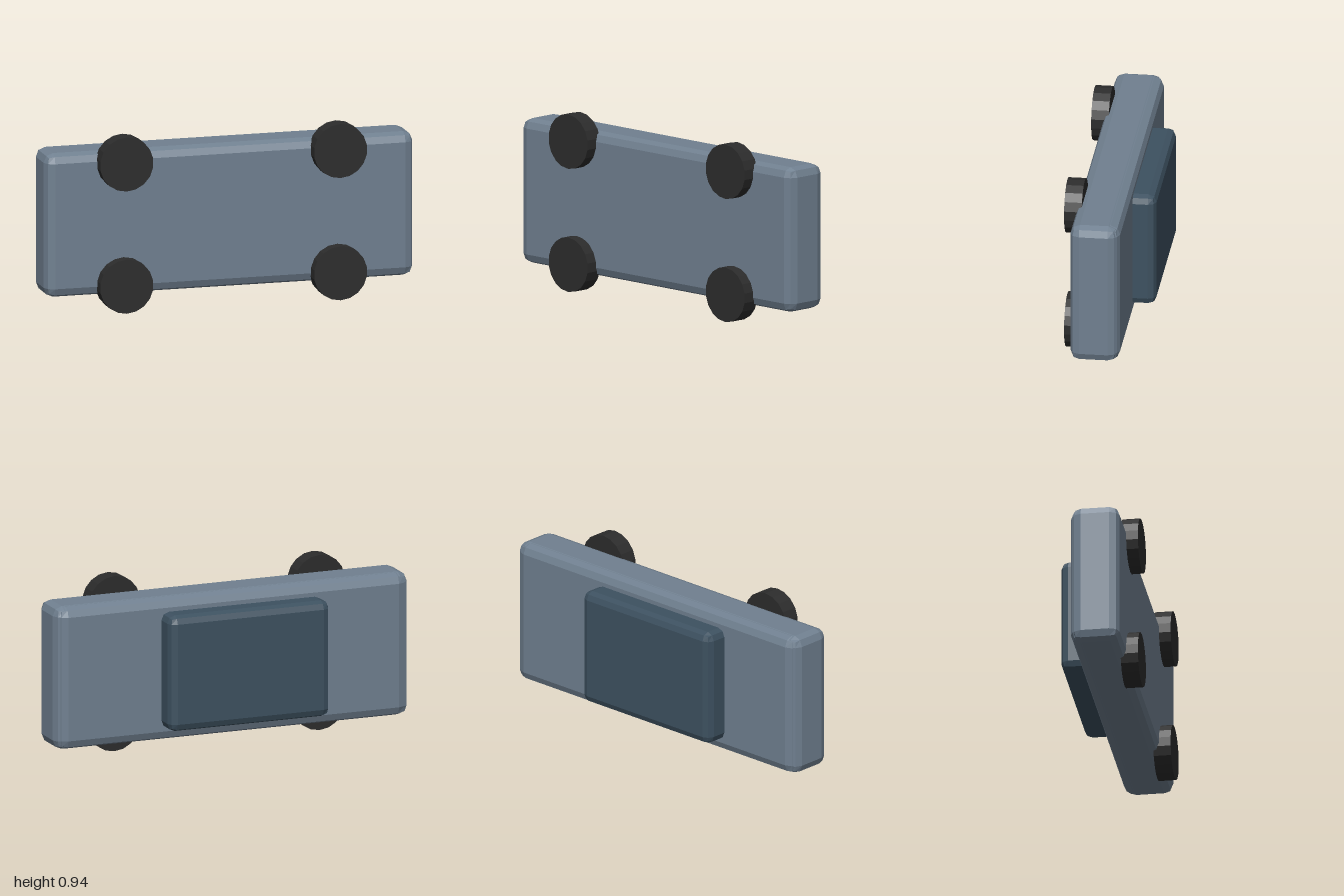
import * as THREE from 'three';
import { RoundedBoxGeometry } from 'three/addons/geometries/RoundedBoxGeometry.js';

function paint(name, color) {
  const material = new THREE.MeshStandardMaterial({ color, flatShading: true });
  material.name = name;
  return material;
}

export function createModel() {
  const model = new THREE.Group();
  model.name = 'car';
  const bodyPaint = paint('slate grey', 0x708090);
  const cabinPaint = paint('dark blue grey', 0x3d5160);
  const rubber = paint('black rubber', 0x2c2c2c);

  // Bevelled block given by its min and max corners
  function block(name, min, max, radius, material) {
    const s = max.map((v, i) => v - min[i]);
    const mesh = new THREE.Mesh(new RoundedBoxGeometry(s[0], s[1], s[2], 1, radius), material);
    mesh.position.set(...max.map((v, i) => (v + min[i]) / 2));
    mesh.name = name;
    model.add(mesh);
  }

  // Body, with a slightly shorter deck overlapping its back
  block('body', [-1, 0.09, -0.09], [1, 0.86, 0.16], 0.05, bodyPaint);
  block('deck', [-0.985, 0.092, -0.1], [0.985, 0.858, 0.06], 0.05, bodyPaint);

  // Cabin, sunk into the deck
  block('cabin', [-0.5, 0.162, -0.222], [0.41, 0.786, -0.02], 0.042, cabinPaint);

  // Four wheels on axles along z
  const wheelGeometry = new THREE.CylinderGeometry(0.145, 0.145, 0.092, 18);
  wheelGeometry.rotateX(Math.PI / 2);
  for (const x of [-0.58, 0.58]) {
    for (const y of [0.145, 0.8]) {
      const wheel = new THREE.Mesh(wheelGeometry, rubber);
      wheel.position.set(x, y, 0.176);
      wheel.name = 'wheel';
      model.add(wheel);
    }
  }
  return model;
}
